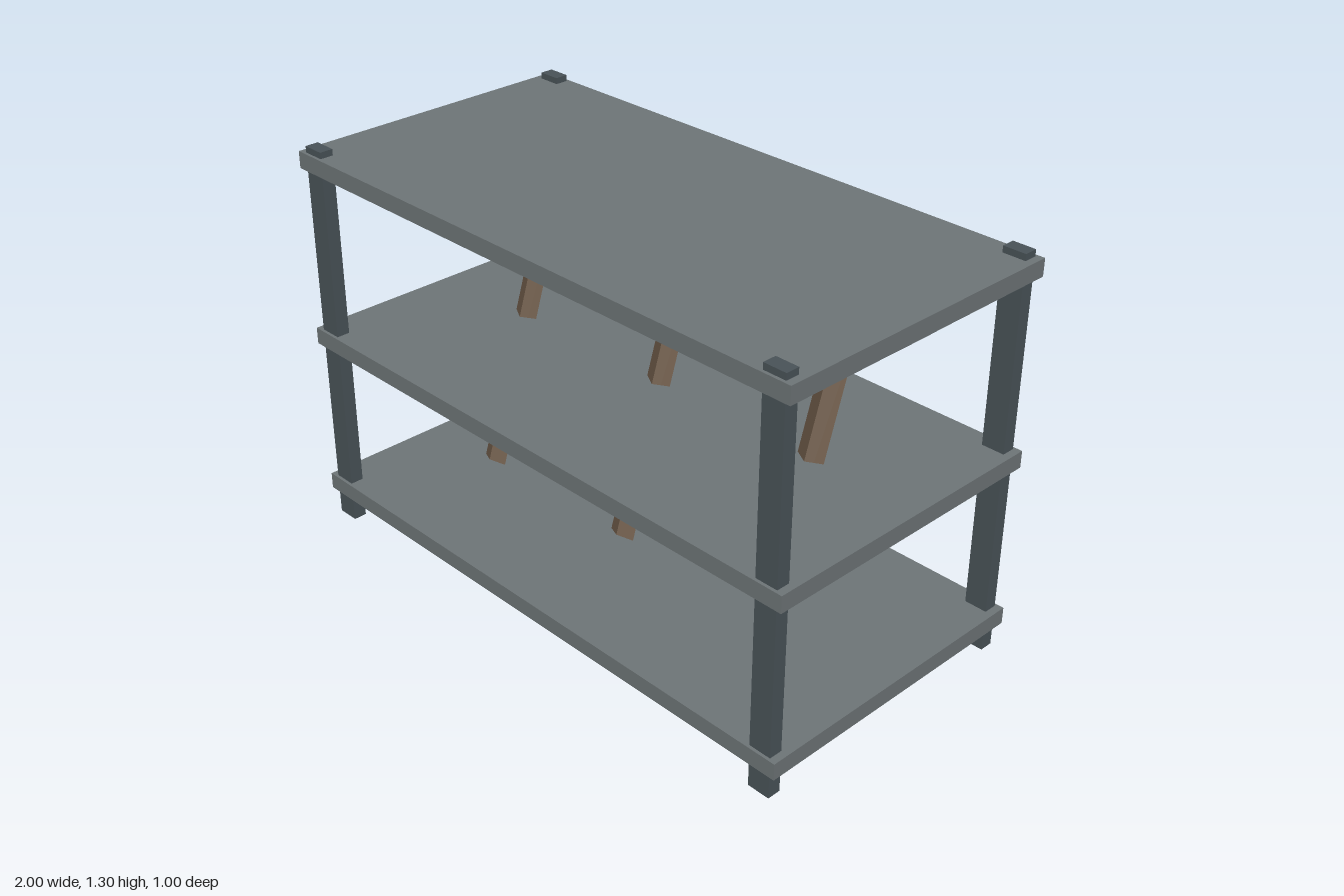
import * as THREE from 'three';

const shelfMat = new THREE.MeshStandardMaterial({ color: 0x6f7678 });
const postMat = new THREE.MeshStandardMaterial({ color: 0x4a5459 });
const woodMat = new THREE.MeshStandardMaterial({ color: 0x6b5846, flatShading: true });

export function createModel() {
  const model = new THREE.Group();
  model.name = 'toolRack';

  const add = (name, geometry, material, x, y, z) => {
    const mesh = new THREE.Mesh(geometry, material);
    mesh.name = name;
    mesh.position.set(x, y, z);
    model.add(mesh);
  };

  // Three full-width shelves
  const shelf = new THREE.BoxGeometry(2, 0.055, 1);
  ['bottomShelf', 'middleShelf', 'topShelf'].forEach((name, i) =>
    add(name, shelf, shelfMat, 0, [0.112, 0.657, 1.257][i], 0));

  // Corner posts, poking out slightly above the top shelf
  const post = new THREE.BoxGeometry(0.075, 1.305, 0.044);
  for (const [xName, sx] of [['Left', 1], ['Right', -1]])
    for (const [zName, sz] of [['front', 1], ['back', -1]])
      add(`${zName}${xName}Post`, post, postMat, sx * 0.938, 0.6525, sz * 0.468);

  // Hammers: block head under the top shelf, slanted diamond-section handle
  const head = new THREE.BoxGeometry(0.448, 0.15, 0.167);
  const handle = new THREE.CylinderGeometry(0.0296, 0.0296, 1.02, 4)
    .rotateX(THREE.MathUtils.degToRad(-20))
    .scale(1.64, 1, 0.877);
  [-0.612, 0, 0.612].forEach((x, i) => {
    add(`hammerHead${i + 1}`, head, shelfMat, x, 1.16, -0.193);
    add(`hammerHandle${i + 1}`, handle, woodMat, x, 0.68, -0.041);
  });

  return model;
}
